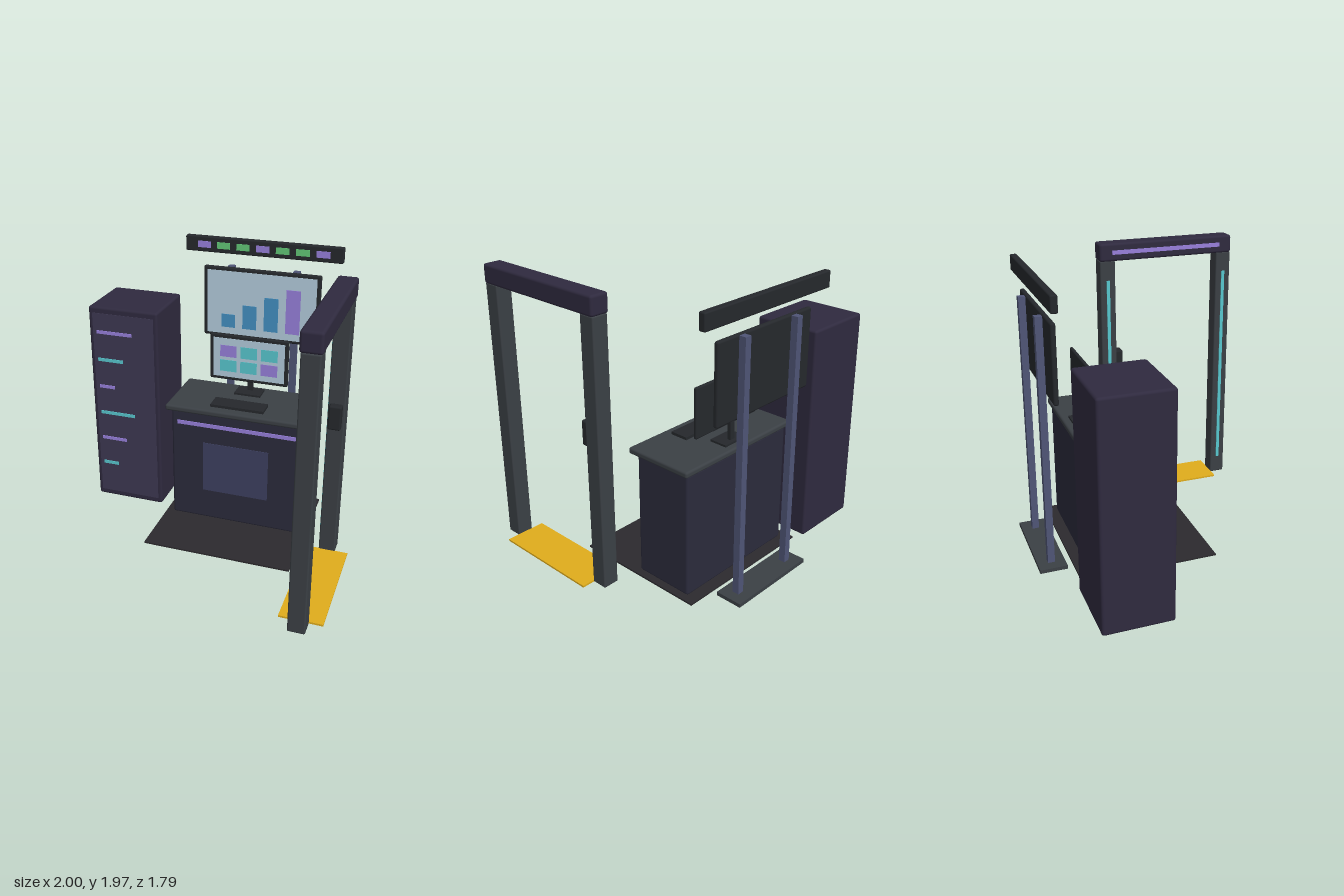
import * as THREE from 'three';
import { RoundedBoxGeometry } from 'three/addons/geometries/RoundedBoxGeometry.js';

const COLORS = {
  cabinet: 0x2f2a3f, cabinetDoor: 0x3d3851, desk: 0x2b2b3c, deskPanel: 0x3d4060,
  slate: 0x3b4045, mat: 0x2c2a2e, black: 0x25282c, screen: 0xb4cddd, pole: 0x4f5576,
  purple: 0x9880dc, teal: 0x58c8cf, green: 0x62c877, blue: 0x4490c2, yellow: 0xe0ad1c,
};
const materials = {};
for (const key in COLORS) materials[key] = new THREE.MeshStandardMaterial({ color: COLORS[key] });

// Box given by its extents on each axis; a radius rounds the edges
function box(parent, name, color, [x0, x1], [y0, y1], [z0, z1], radius = 0) {
  const size = [x1 - x0, y1 - y0, z1 - z0];
  const geometry = radius
    ? new RoundedBoxGeometry(...size, 2, radius)
    : new THREE.BoxGeometry(...size);
  const mesh = new THREE.Mesh(geometry, materials[color]);
  mesh.name = name;
  mesh.position.set((x0 + x1) / 2, (y0 + y1) / 2, (z0 + z1) / 2);
  parent.add(mesh);
  return mesh;
}

function group(parent, name) {
  const g = new THREE.Group();
  g.name = name;
  parent.add(g);
  return g;
}

function buildCabinet(root) {
  const g = group(root, 'cabinet');
  box(g, 'cabinetBody', 'cabinet', [-1, -0.475], [0, 1.54], [-0.7, -0.225], 0.018);
  box(g, 'cabinetDoor', 'cabinetDoor', [-0.97, -0.505], [0.045, 1.495], [-0.23, -0.221]);
  // Status lights repeat in three lengths and alternate in colour
  const lengths = [0.27, 0.195, 0.12];
  for (let i = 0; i < 6; i++) {
    const y = 1.355 - i * 0.212;
    box(g, 'statusLight', i % 2 ? 'teal' : 'purple',
      [-0.94, -0.94 + lengths[i % 3]], [y - 0.012, y + 0.012], [-0.225, -0.215]);
  }
}

function buildDesk(root) {
  const g = group(root, 'desk');
  box(g, 'floorMat', 'mat', [-0.4, 0.66], [0, 0.012], [-0.66, 0.305]);
  box(g, 'deskBody', 'desk', [-0.35, 0.61], [0.005, 0.875], [-0.58, -0.15], 0.018);
  box(g, 'deskTop', 'slate', [-0.38, 0.64], [0.873, 0.917], [-0.6, -0.1], 0.015);
  box(g, 'deskLightStrip', 'purple', [-0.305, 0.565], [0.76, 0.788], [-0.155, -0.143]);
  box(g, 'deskFrontPanel', 'deskPanel', [-0.112, 0.373], [0.243, 0.633], [-0.155, -0.146]);
  box(g, 'keyboard', 'black', [-0.065, 0.322], [0.915, 0.936], [-0.3, -0.17]);
}

function buildMonitor(root) {
  const g = group(root, 'deskMonitor');
  box(g, 'monitorFoot', 'black', [0.033, 0.227], [0.915, 0.931], [-0.55, -0.422]);
  box(g, 'monitorNeck', 'black', [0.11, 0.15], [0.925, 1.055], [-0.522, -0.498]);
  box(g, 'monitorFrame', 'black', [-0.16, 0.418], [1.013, 1.358], [-0.475, -0.45], 0.01);
  box(g, 'monitorScreen', 'screen', [-0.135, 0.392], [1.037, 1.333], [-0.455, -0.447]);
  // Two rows of three tiles
  const tiles = [['purple', 'teal', 'teal'], ['teal', 'teal', 'purple']];
  tiles.forEach((row, r) => row.forEach((color, c) => {
    const x = -0.082 + c * 0.151, y = 1.193 - r * 0.112;
    box(g, 'screenTile', color, [x, x + 0.122], [y, y + 0.087], [-0.45, -0.444]);
  }));
}

function buildDisplayStand(root) {
  const g = group(root, 'displayStand');
  box(g, 'standBase', 'slate', [-0.21, 0.467], [0, 0.026], [-0.895, -0.705]);
  for (const x of [-0.112, 0.372])
    box(g, 'standPole', 'pole', [x - 0.024, x + 0.024], [0.02, 1.76], [-0.823, -0.775]);

  // Wall display with a rising bar chart
  box(g, 'displayFrame', 'black', [-0.305, 0.565], [1.233, 1.762], [-0.768, -0.733], 0.014);
  box(g, 'displayScreen', 'screen', [-0.278, 0.537], [1.258, 1.737], [-0.738, -0.73]);
  [0.1, 0.18, 0.255, 0.33].forEach((h, i) => {
    const x = -0.167 + i * 0.162;
    box(g, 'chartBar', i === 3 ? 'purple' : 'blue', [x, x + 0.105], [1.31, 1.31 + h], [-0.733, -0.726]);
  });

  // Overhead signal bar
  box(g, 'signalBar', 'black', [-0.447, 0.707], [1.858, 1.97], [-0.795, -0.747], 0.01);
  for (let i = 0; i < 7; i++) {
    const x = -0.305 + i * 0.145;
    box(g, 'signalLamp', i % 3 ? 'green' : 'purple', [x - 0.049, x + 0.049], [1.89, 1.937], [-0.75, -0.743]);
  }
}

function buildGate(root) {
  const g = group(root, 'gate');
  box(g, 'floorMarking', 'yellow', [0.71, 1], [0, 0.013], [-0.02, 0.78]);
  for (const z of [-0.073, 0.838]) {
    box(g, 'gatePost', 'slate', [0.795, 0.91], [0, 1.845], [z - 0.057, z + 0.057], 0.01);
    box(g, 'postLightStrip', 'teal', [0.788, 0.798], [0.14, 1.7], [z - 0.012, z + 0.012]);
  }
  box(g, 'gateBeam', 'cabinet', [0.785, 0.918], [1.84, 1.97], [-0.133, 0.895], 0.018);
  box(g, 'beamLightStrip', 'purple', [0.78, 0.79], [1.89, 1.92], [-0.04, 0.8]);
  box(g, 'cardReader', 'black', [0.81, 0.895], [0.98, 1.15], [-0.02, 0.038], 0.012);
}

export function createModel() {
  const root = new THREE.Group();
  root.name = 'securityCheckpoint';
  buildCabinet(root);
  buildDesk(root);
  buildMonitor(root);
  buildDisplayStand(root);
  buildGate(root);
  return root;
}
